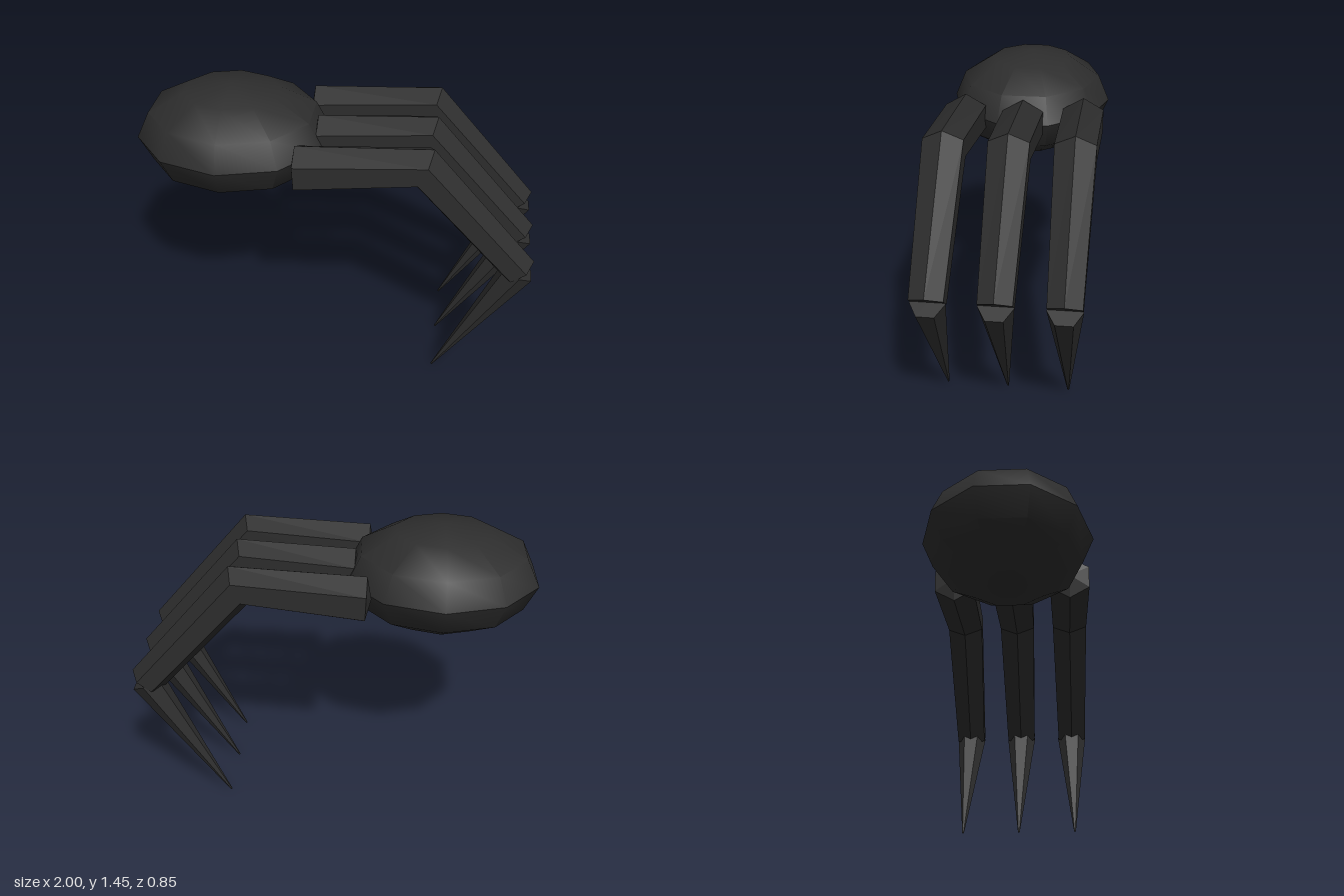
import * as THREE from 'three';
import { toCreasedNormals } from 'three/addons/utils/BufferGeometryUtils.js';

const SIDES = 6;

// Hexagonal ring spanning an outer and inner point of the limb, with radius w across z.
function ring([ox, oy], [ix, iy], w, twist = 0) {
  const cx = (ox + ix) / 2, cy = (oy + iy) / 2;
  const points = [];
  for (let i = 0; i < SIDES; i++) {
    const a = twist + (i / SIDES) * Math.PI * 2;
    points.push([
      cx + (ox - cx) * Math.cos(a),
      cy + (oy - cy) * Math.cos(a),
      w * Math.sin(a),
    ]);
  }
  return { points, centre: [cx, cy, 0] };
}

// Closed flat-faced skin over a row of rings; startBulge pushes the first cap out along -x.
function loft(rings, startBulge = 0) {
  const pos = [];
  const tri = (...corners) => corners.forEach((c) => pos.push(...c));
  const first = rings[0], last = rings[rings.length - 1];
  const startCentre = [first.centre[0] - startBulge, first.centre[1], 0];
  for (let i = 0; i < SIDES; i++) {
    const j = (i + 1) % SIDES;
    for (let k = 0; k < rings.length - 1; k++) {
      const a = rings[k].points, b = rings[k + 1].points;
      tri(a[i], a[j], b[j]);
      tri(a[i], b[j], b[i]);
    }
    tri(startCentre, first.points[j], first.points[i]);
    tri(last.centre, last.points[i], last.points[j]);
  }
  const geometry = new THREE.BufferGeometry();
  geometry.setAttribute('position', new THREE.Float32BufferAttribute(pos, 3));
  geometry.computeVertexNormals();
  return geometry;
}

export function createModel() {
  const model = new THREE.Group();
  model.name = 'clawedHand';
  const charcoal = new THREE.MeshStandardMaterial({ color: 0x2d2d2d });
  charcoal.name = 'charcoal';

  const add = (parent, name, geometry) => {
    const mesh = new THREE.Mesh(geometry, charcoal);
    mesh.name = name;
    parent.add(mesh);
  };

  // Palm: squashed ten-sided ball with a sharp rim at the equator
  const ball = new THREE.SphereGeometry(1, 10, 6, Math.PI / 2);
  ball.scale(0.489, 0.268, 0.425);
  ball.translate(-0.535, 1.18, 0);
  add(model, 'palm', toCreasedNormals(ball, THREE.MathUtils.degToRad(42)));

  // Claw: tapered spike hanging from the fingertip
  const claw = loft([
    ring([1.005, 0.654], [0.861, 0.736], 0.083, Math.PI / 6),
    ring([0.545, 0.001], [0.537, 0.005], 0.005, Math.PI / 6),
  ]);

  // Three fingers; the middle one starts further out along the palm
  const fingers = [
    ['frontFinger', 0.306, -0.17],
    ['middleFinger', 0, -0.105],
    ['backFinger', -0.306, -0.17],
  ];
  for (const [name, z, rootX] of fingers) {
    const finger = new THREE.Group();
    finger.name = name;
    finger.position.z = z;
    add(finger, 'bentFinger', loft([
      ring([rootX, 1.303], [rootX + 0.01, 1.065], 0.12),
      ring([0.485, 1.34], [0.4, 1.145], 0.112),
      ring([1.0, 0.75], [0.86, 0.645], 0.0915),
    ], 0.025));
    add(finger, 'claw', claw);
    model.add(finger);
  }
  return model;
}
